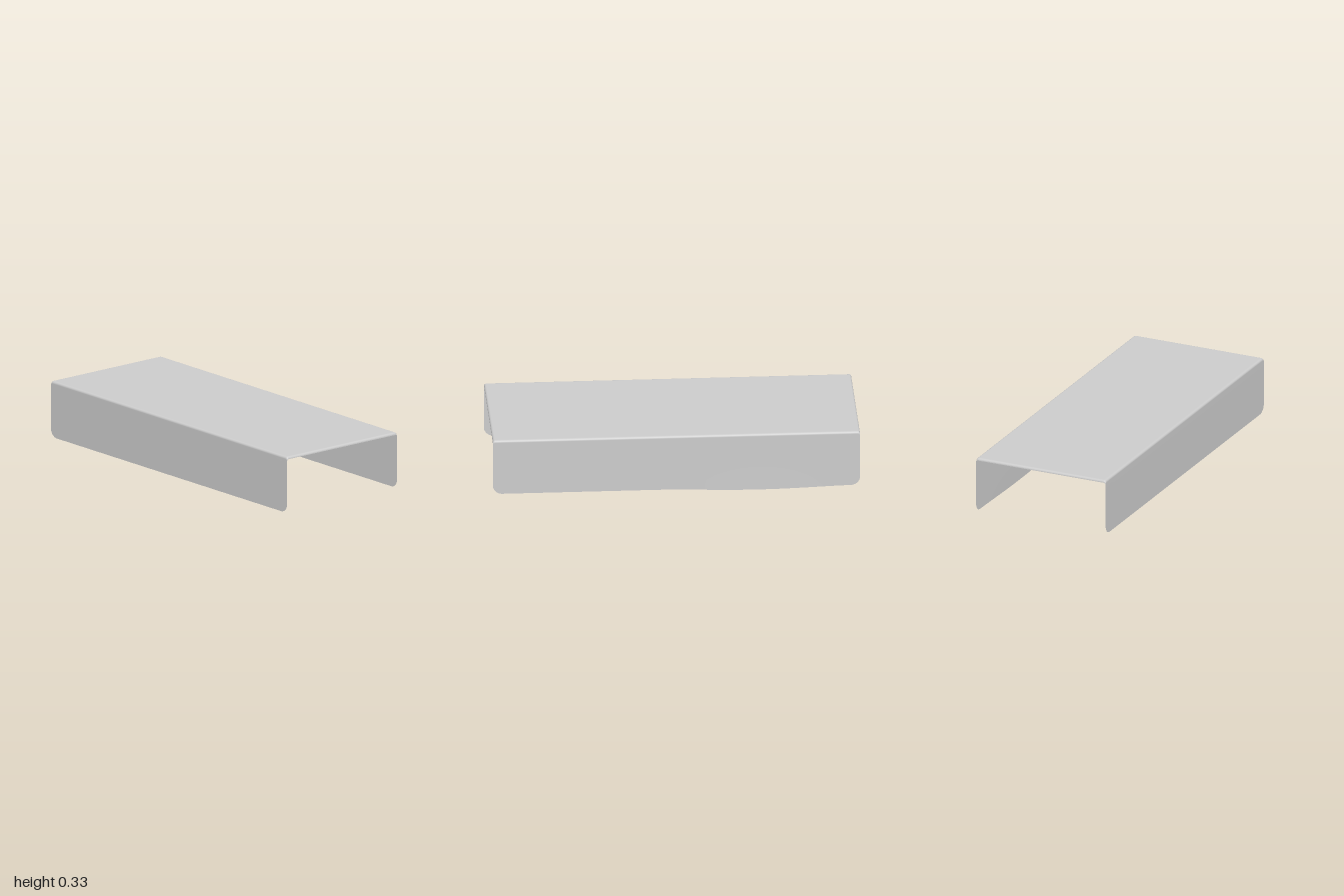
import * as THREE from 'three';

const TOP = 0.327, BOTTOM = 0.012, DEPTH = 0.39, FILLET = 0.013;
const CORNER = 0.05, LIP = 0.013;

// Height lost on a quarter circle of radius r towards each end of the sheet
function endArc(x, r) {
  const d = Math.max(0, Math.abs(x) - (1 - r));
  return r - Math.sqrt(Math.max(0, r * r - d * d));
}

// Gentle bulge along the lower edge of the back wall
function bulge(x) {
  const d = (x + 0.45) / 0.55;
  return Math.abs(d) < 1 ? (1 - d * d) ** 2 : 0;
}

// Stations along the length, denser at both ends
function stations() {
  const xs = [];
  for (let i = 0; i <= 10; i++) xs.push(1 - CORNER * (1 - Math.sin(i / 10 * Math.PI / 2)));
  for (let i = 0; i <= 4; i++) xs.push(1 - LIP * (1 - Math.sin(i / 4 * Math.PI / 2)));
  const ends = [...new Set(xs)].sort((a, b) => a - b);
  const middle = [];
  for (let i = 1; i < 32; i++) middle.push((i / 16 - 1) * (1 - CORNER));
  return [...ends.map(x => -x).reverse(), ...middle, ...ends];
}

// One cross-section: front wall, fillet, top, fillet, back wall
function section(x) {
  const top = TOP - endArc(x, LIP);
  const low = BOTTOM + endArc(x, CORNER);
  const half = side => {
    const pts = [];
    const b = side < 0 ? bulge(x) : 0;
    for (let i = 0; i < 6; i++) {
      const t = i / 6, w = (1 - t) ** 3;
      pts.push([x, low + (top - FILLET - low) * t - 0.012 * b * w, side * (DEPTH + 0.003 * b * w)]);
    }
    for (let i = 0; i <= 6; i++) {
      const a = i / 6 * Math.PI / 2;
      pts.push([x, top - FILLET * (1 - Math.sin(a)), side * (DEPTH - FILLET * (1 - Math.cos(a)))]);
    }
    // Short step that keeps the top shading flat
    pts.push([x, top, side * (DEPTH - FILLET - 0.01)]);
    return pts;
  };
  return [...half(1), ...half(-1).reverse()];
}

export function createModel() {
  const group = new THREE.Group();
  const sections = stations().map(section);
  const n = sections[0].length;
  const index = [];
  for (let i = 0; i < sections.length - 1; i++) {
    for (let j = 0; j < n - 1; j++) {
      const a = i * n + j, b = a + n;
      index.push(a, b, a + 1, b, b + 1, a + 1);
    }
  }
  const geometry = new THREE.BufferGeometry();
  geometry.setAttribute('position', new THREE.Float32BufferAttribute(sections.flat(2), 3));
  geometry.setIndex(index);
  geometry.computeVertexNormals();

  // Folded thin sheet with open ends and an open underside
  const cover = new THREE.Mesh(geometry, new THREE.MeshStandardMaterial({ color: 0xcccccc, side: THREE.DoubleSide }));
  cover.name = 'channelCover';
  group.add(cover);
  return group;
}
